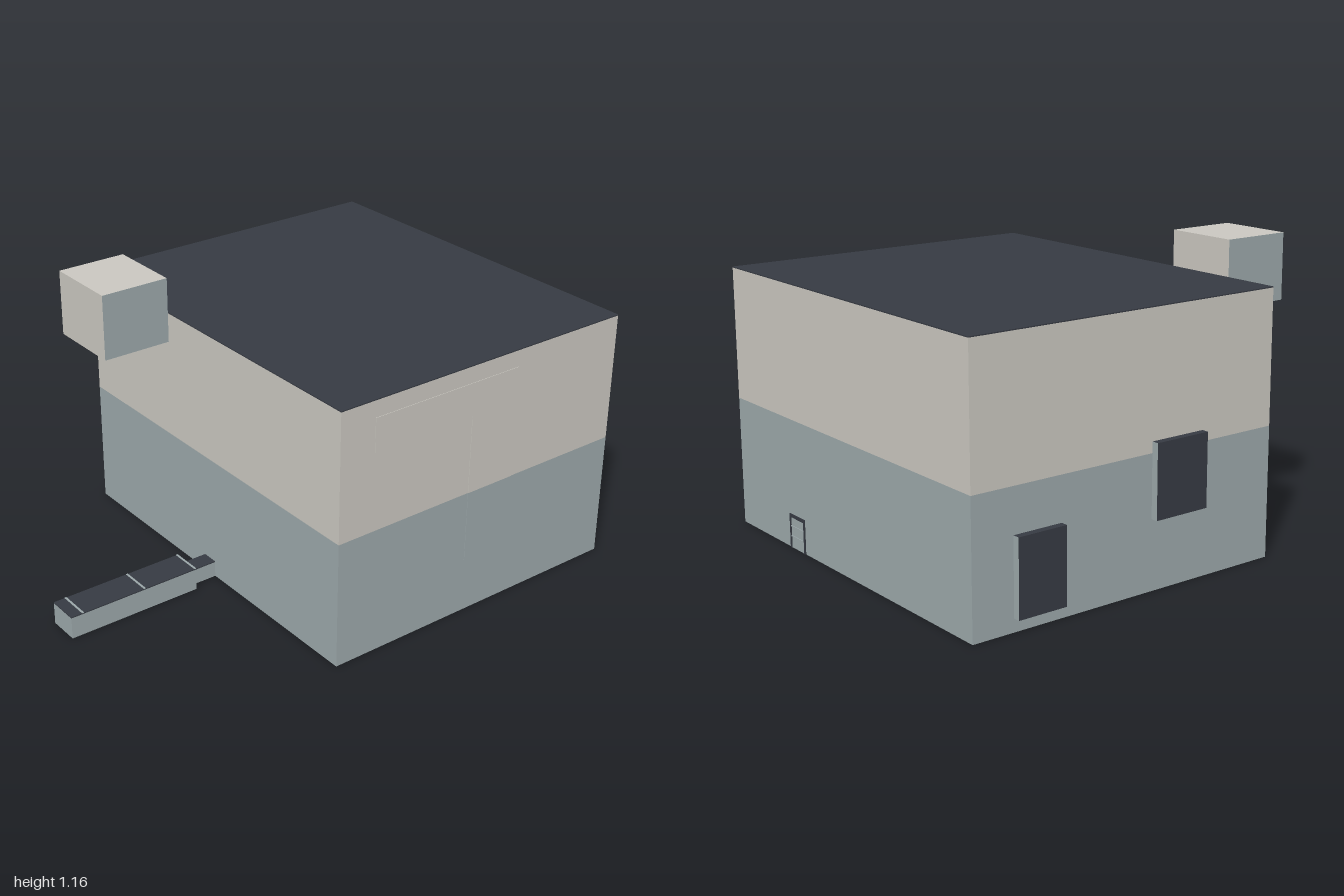
import * as THREE from 'three';

const mat = (name, color) => {
  const m = new THREE.MeshStandardMaterial({ color });
  m.name = name;
  return m;
};

export function createModel() {
  const beige = mat('upper wall beige', 0xc9c6bf);
  const blue = mat('lower wall blue grey', 0x9ba7a9);
  const dark = mat('roof charcoal', 0x363a42);
  const model = new THREE.Group();
  model.name = 'building';

  // Box from its limits; face materials run +x, -x, +y, -y, +z, -z
  function block(name, [x0, x1], [y0, y1], [z0, z1], material, parent = model) {
    const mesh = new THREE.Mesh(new THREE.BoxGeometry(x1 - x0, y1 - y0, z1 - z0), material);
    mesh.position.set((x0 + x1) / 2, (y0 + y1) / 2, (z0 + z1) / 2);
    mesh.name = name;
    parent.add(mesh);
    return mesh;
  }

  // Main body in two colour bands under a flat roof
  const X = [-0.772, 0.796], Z = [-0.998, 0.335], split = 0.508;
  block('lowerWalls', X, [0, split], Z, blue);
  block('upperWalls', X, [split, 1.022], Z, beige);
  block('roof', X, [1.022, 1.026], Z, dark);

  // Raised box hung on the front wall
  block('frontBox', [-0.538, -0.234], [0.906, 1.165], [0.337, 0.618],
    [blue, blue, beige, blue, beige, beige]);

  // Flush angled panel on the right wall, following the colour bands
  const panelX = [0.796, 0.798];
  block('sidePanelArm', panelX, [0.822, 0.956], [-0.27, 0.183], beige);
  block('sidePanelUpper', panelX, [split, 0.956], [-0.49, -0.27], beige);
  block('sidePanelLower', panelX, [0.222, split], [-0.49, -0.27], blue);

  // Two dark shutters on the other wall
  const shutter = [dark, dark, dark, blue, blue, blue];
  block('shutterLow', [-0.8, -0.772], [0.05, 0.34], [-0.83, -0.63], shutter);
  block('shutterHigh', [-0.8, -0.772], [0.268, 0.55], [-0.232, 0.002], shutter);

  // Back doorway: pale leaf, dark frame and thin slats
  const door = new THREE.Group();
  door.name = 'backDoor';
  model.add(door);
  block('doorLeaf', [0.318, 0.412], [0, 0.122], [-0.999, -0.998], blue, door);
  for (const x of [0.31, 0.412]) block('doorJamb', [x, x + 0.009], [0, 0.135], [-1.002, -0.998], dark, door);
  block('doorLintel', [0.319, 0.412], [0.122, 0.135], [-1.002, -0.998], dark, door);
  for (const y of [0.045, 0.085]) {
    block('doorSlat', [0.319, 0.412], [y, y + 0.004], [-1.002, -0.998],
      [blue, blue, blue, dark, blue, blue], door);
  }

  // Covered channel reaching out from the front, open below
  const channel = new THREE.Group();
  channel.name = 'frontChannel';
  model.add(channel);
  const t = 0.004;
  function duct(name, [x0, x1], h, [z0, z1]) {
    for (const x of [x0, x1 - t]) block(name + 'Side', [x, x + t], [0, h - t], [z0, z1], blue, channel);
    block(name + 'Cover', [x0, x1], [h - t, h], [z0, z1], dark, channel);
  }
  duct('neck', [-0.025, 0.042], 0.067, [0.335, 0.446]);
  duct('trough', [-0.052, 0.075], 0.092, [0.446, 1]);
  for (const z of [0.446, 1 - t]) {
    block('troughEnd', [-0.052 + t, 0.075 - t], [0, 0.088], [z, z + t], blue, channel);
  }
  // Pale joints across the cover
  for (const z of [0.45, 0.68, 0.95]) {
    block('coverJoint', [-0.052, 0.075], [0.092, 0.094], [z - 0.004, z + 0.004], blue, channel);
  }
  return model;
}
